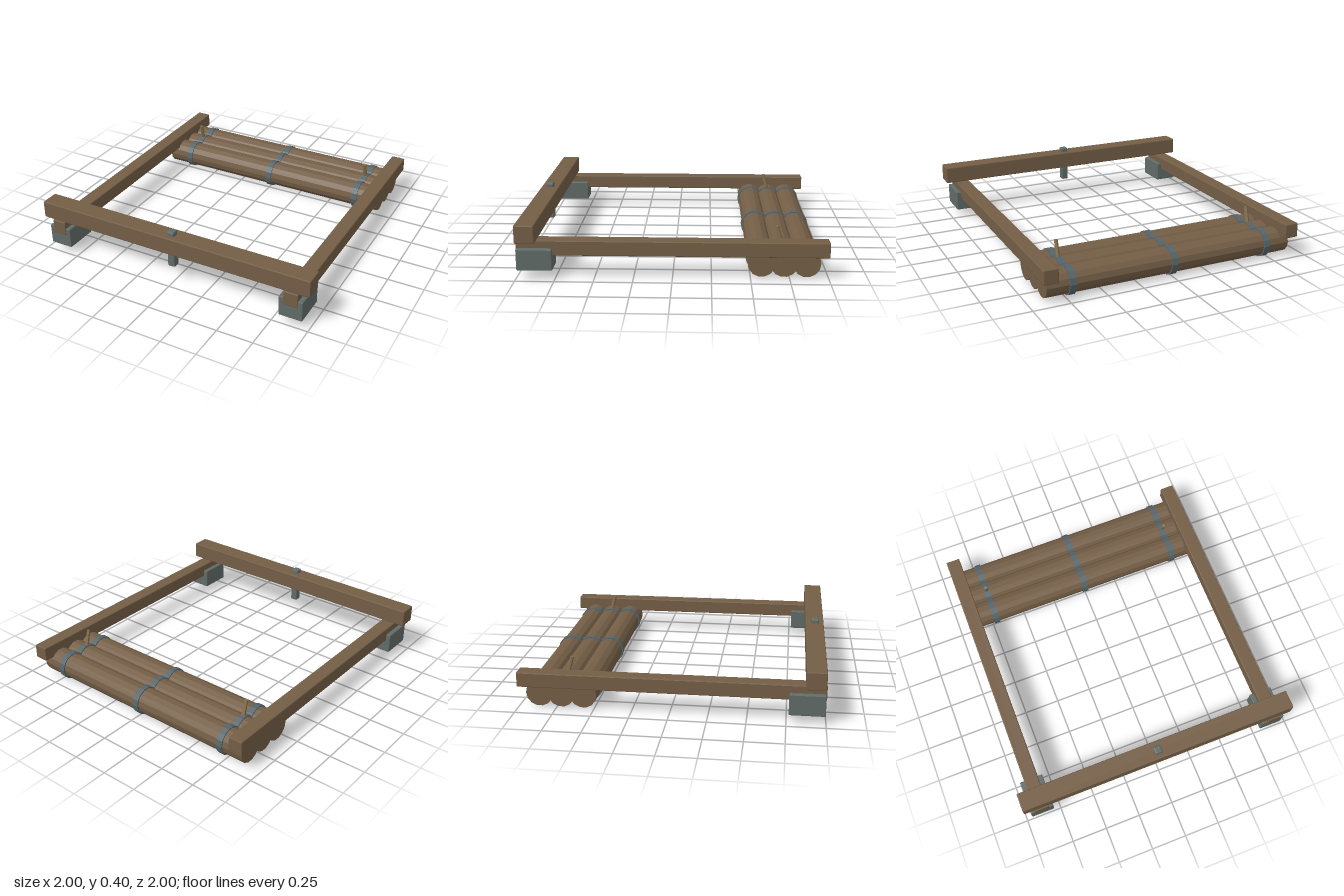
import * as THREE from 'three';
import { RoundedBoxGeometry } from 'three/addons/geometries/RoundedBoxGeometry.js';

const paint = (color) => new THREE.MeshStandardMaterial({ color, flatShading: true });

export function createModel() {
  const model = new THREE.Group();
  const wood = paint(0x745e46);
  const iron = paint(0x606b67);
  const strap = paint(0x56656a);
  const paleWood = paint(0x85714f);

  const add = (name, geometry, material, x, y, z) => {
    const mesh = new THREE.Mesh(geometry, material);
    mesh.name = name;
    mesh.position.set(x, y, z);
    model.add(mesh);
    return mesh;
  };
  // Box with slightly worn edges, given by its limits
  const beam = (name, material, [x0, x1], [y0, y1], [z0, z1], bevel = 0.006) =>
    add(name, new RoundedBoxGeometry(x1 - x0, y1 - y0, z1 - z0, 1, bevel), material,
      (x0 + x1) / 2, (y0 + y1) / 2, (z0 + z1) / 2);
  // Fourteen-sided cylinder lying along x
  const lyingCylinder = (radius, length) =>
    new THREE.CylinderGeometry(radius, radius, length, 14).rotateZ(Math.PI / 2);

  // Front crossbeam and the iron pin through its middle
  beam('crossbeam', wood, [-1, 1], [0.25, 0.37], [0.865, 0.993]);
  beam('centerPin', iron, [-0.027, 0.027], [0.135, 0.4], [0.905, 0.96], 0.01);

  // Side rails, their front sockets and the leaning pegs
  for (const [side, s] of [['left', 1], ['right', -1]]) {
    const span = (a, b) => (s > 0 ? [a, b] : [-b, -a]);
    beam(side + 'Rail', wood, span(0.826, 0.926), [0.15, 0.25], [-1, 1]);
    beam(side + 'Socket', iron, span(0.794, 0.958), [0.058, 0.2], [0.765, 0.996]);
    const peg = add(side + 'Peg', new THREE.CylinderGeometry(0.012, 0.016, 0.16, 6), paleWood,
      s * 0.715, 0.222, -0.696);
    peg.rotation.x = 0.27;
  }

  // Rear bundle of three logs, each bound by three straps
  [-0.86, -0.715, -0.57].forEach((z, i) => {
    add('log' + (i + 1), lyingCylinder(0.09, 1.78), wood, 0, 0.1, z);
    for (const x of [-0.715, 0, 0.715]) {
      add('logStrap', lyingCylinder(0.099, 0.044), strap, x, 0.098, z);
    }
  });

  return model;
}
